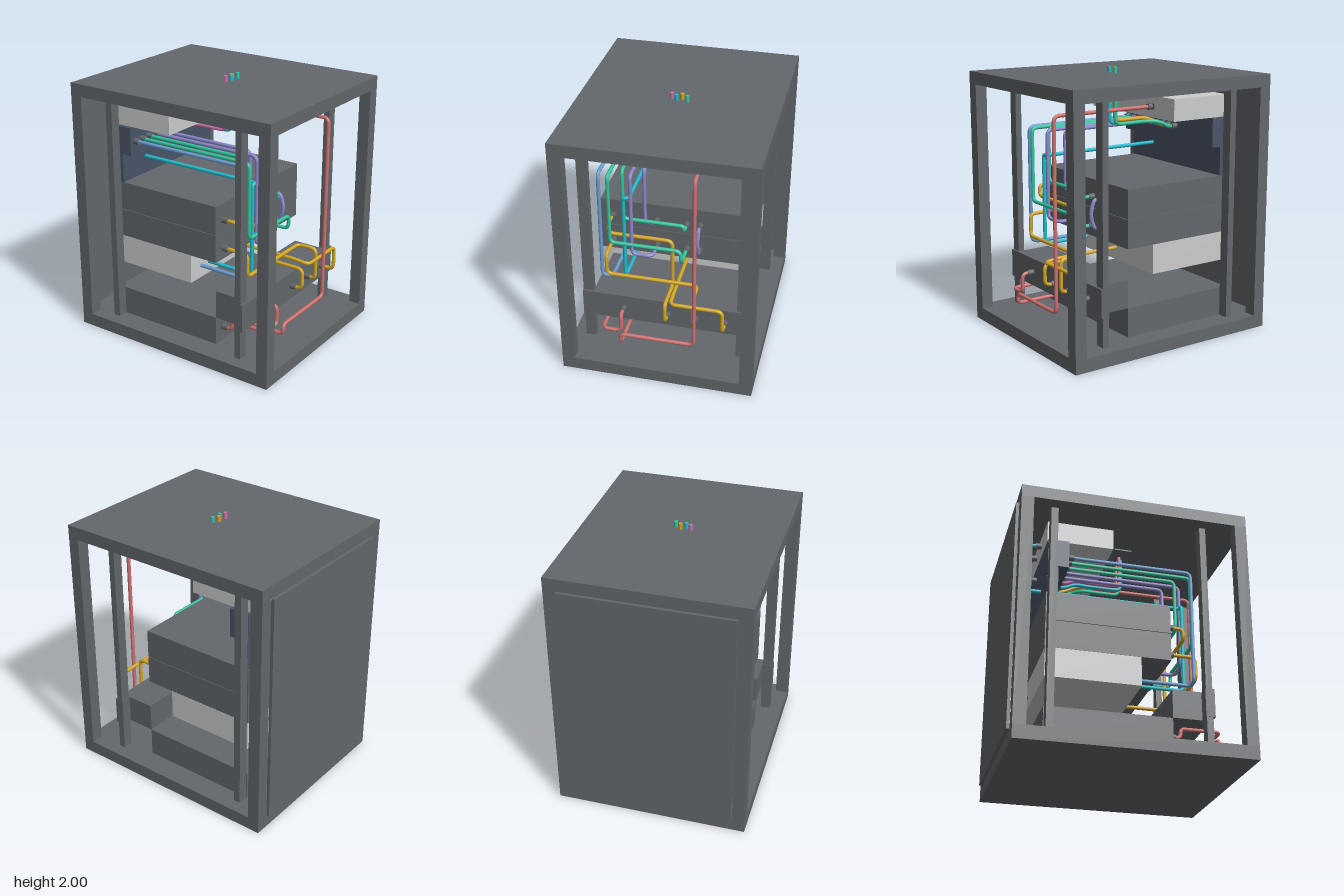
import * as THREE from 'three';

const mat = (name, color) => {
  const m = new THREE.MeshStandardMaterial({ color });
  m.name = name;
  return m;
};

export function createModel() {
  const root = new THREE.Group();
  root.name = 'equipmentRack';
  const M = {
    grey: mat('slateGrey', 0x63676b),
    light: mat('lightGrey', 0xcbcccd),
    navy: mat('navyBlue', 0x4a5469),
    red: mat('cableRed', 0xd27272),
    gold: mat('cableGold', 0xd6a925),
    green: mat('cableGreen', 0x35c6a0),
    cyan: mat('cableCyan', 0x20bfd0),
    purple: mat('cablePurple', 0x8c89cc),
    blue: mat('cableBlue', 0x6b9fd3),
    pink: mat('cablePink', 0xd072b0),
  };

  const add = (name, geo, m, parent = root) => {
    const mesh = new THREE.Mesh(geo, m);
    mesh.name = name;
    parent.add(mesh);
    return mesh;
  };
  // Box given by its low and high limits on each axis
  const box = (name, m, x0, x1, y0, y1, z0, z1, parent) =>
    add(name, new THREE.BoxGeometry(x1 - x0, y1 - y0, z1 - z0), m, parent)
      .position.set((x0 + x1) / 2, (y0 + y1) / 2, (z0 + z1) / 2);

  // Cabinet: base, roof, corner posts, rails and rear door
  box('base', M.grey, -0.725, 0.725, 0, 0.1, -0.85, 0.87);
  box('roof', M.grey, -0.725, 0.725, 1.86, 1.955, -0.85, 0.87);
  box('cableEntryPlate', M.grey, -0.175, 0.17, 1.85, 1.86, -0.01, 0.125);
  box('rearDoor', M.grey, -0.625, 0.625, 0.1, 1.86, -0.873, -0.85);
  for (const s of [-1, 1]) {
    const side = (name, a, b, y0, y1, z0, z1) =>
      box(name, M.grey, Math.min(s * a, s * b), Math.max(s * a, s * b), y0, y1, z0, z1);
    side('frontPost', 0.63, 0.725, 0.1, 1.86, 0.78, 0.87);
    side('rearPost', 0.63, 0.725, 0.1, 1.86, -0.85, -0.757);
    side('frontRail', 0.55, 0.628, 0.1, 1.86, 0.53, 0.578);
    side('rearRail', 0.55, 0.628, 0.1, 1.86, -0.61, -0.557);
    side('mountingEar', 0.545, 0.63, 0.322, 0.537, 0.525, 0.594);
  }

  // Rack units, bottom to top
  const W = 0.548;
  box('powerUnit', M.grey, -W, W, 0.1, 0.32, -0.615, 0.308);
  box('distributionUnit', M.grey, -W, W, 0.322, 0.537, 0.308, 0.594);
  box('lowerLightUnit', M.light, -W, W, 0.54, 0.762, -0.615, 0.085);
  box('lowerServer', M.grey, -W, W, 0.763, 0.976, -0.618, 0.308);
  box('upperServer', M.grey, -W, W, 0.98, 1.198, -0.618, 0.308);
  box('lowerPatchPanel', M.navy, -W, W, 1.2, 1.414, -0.61, -0.532);
  box('upperPatchPanel', M.navy, -W, W, 1.417, 1.634, -0.612, -0.455);
  box('upperLightUnit', M.light, -0.522, 0.522, 1.637, 1.8, -0.615, -0.115);

  // Sockets on the power unit and the top unit
  for (const x of [-0.455, -0.3, -0.14, 0.015, 0.282])
    box('socket', M.grey, x - 0.03, x + 0.03, 0.192, 0.228, 0.308, 0.316);
  box('portPlate', M.grey, 0.228, 0.292, 1.7, 1.742, -0.115, -0.106);
  box('rearPort', M.green, -0.03, 0.03, 0.245, 0.29, -0.624, -0.615);

  // Plug lying along z, starting at the unit's face
  const plug = (x, y, z, dir) => {
    const p = add('plug', new THREE.CylinderGeometry(0.023, 0.023, 0.045, 12), M.grey);
    p.rotation.x = Math.PI / 2;
    p.position.set(x, y, z + dir * 0.0225);
  };

  // Cable through a list of points, with rounded corners
  const cable = (name, m, pts, bend = 0.045) => {
    const p = pts.map((a) => new THREE.Vector3(...a));
    const path = new THREE.CurvePath();
    let from = p[0];
    for (let i = 1; i < p.length - 1; i++) {
      const r = Math.min(bend, p[i].distanceTo(p[i - 1]) * 0.48, p[i].distanceTo(p[i + 1]) * 0.48);
      const a = p[i].clone().add(p[i - 1].clone().sub(p[i]).setLength(r));
      const b = p[i].clone().add(p[i + 1].clone().sub(p[i]).setLength(r));
      path.add(new THREE.LineCurve3(from, a));
      path.add(new THREE.QuadraticBezierCurve3(a, p[i], b));
      from = b;
    }
    path.add(new THREE.LineCurve3(from, p[p.length - 1]));
    const n = Math.ceil(path.getLength() / 0.016);
    add(name, new THREE.TubeGeometry(path, n, 0.0145, 8, false), m);
  };

  // Feeds from the roof to the upper patch panel: roof x, roof z, run height, plug x
  for (const [m, x, z, y, px] of [
    [M.pink, -0.06, 0.052, 1.585, -0.115], [M.cyan, -0.022, 0.073, 1.575, -0.04],
    [M.gold, 0.016, 0.052, 1.597, 0.032], [M.green, 0.057, 0.075, 1.575, 0.11],
  ]) {
    cable('roofFeed', m, [[x, 2, z], [x, y, z], [x, y, -0.22], [px, 1.57, -0.3],
      [px, 1.526, -0.38], [px, 1.526, -0.45]]);
    const cap = add('roofFeedEnd', new THREE.CircleGeometry(0.0145, 8), m);
    cap.rotation.x = -Math.PI / 2;
    cap.position.set(x, 2, z);
    plug(px, 1.526, -0.455, 1);
  }

  // Drops from the upper patch panel to units below: x, loop z, crossing height, end
  for (const [m, x, z, y, ex, ey, ez] of [
    [M.blue, -0.5, 0.49, 0.635, -0.42, 0.635, 0.085],
    [M.green, -0.425, 0.51, 0.958, 0.11, 0.85, 0.308],
    [M.green, -0.345, 0.412, 1.115, 0.11, 1.07, 0.308],
    [M.purple, -0.27, 0.47, 0.85, -0.115, 0.85, 0.308],
    [M.purple, -0.195, 0.36, 1.07, -0.115, 1.07, 0.308],
  ]) {
    const pts = [[x, 1.526, -0.45], [x, 1.526, z], [x, y, z], [ex, y, z]];
    if (ey !== y) pts.push([ex, ey, z]);
    cable('patchDrop', m, [...pts, [ex, ey, ez]]);
    plug(x, 1.526, -0.455, 1);
    if (ez > 0.3) plug(ex, ey, ez, 1);
  }

  // Short link between the two servers
  cable('serverLink', M.purple, [[0.21, 1.07, 0.31], [0.21, 1.07, 0.37], [0.21, 0.96, 0.405],
    [0.21, 0.85, 0.37], [0.21, 0.85, 0.31]], 0.06);
  plug(0.21, 1.07, 0.308, 1);
  plug(0.21, 0.85, 0.308, 1);

  // Power cables
  cable('mainPowerCable', M.red, [[0.26, 1.72, -0.1], [0.26, 1.72, 0.735], [0.26, 0.287, 0.735],
    [-0.3, 0.287, 0.735], [-0.3, 0.21, 0.735], [-0.3, 0.21, 0.31]]);
  cable('distributionPowerCable', M.red, [[-0.31, 0.43, 0.6], [-0.31, 0.43, 0.685], [-0.31, 0.28, 0.685],
    [-0.455, 0.28, 0.685], [-0.455, 0.28, 0.39], [-0.455, 0.21, 0.39], [-0.455, 0.21, 0.31]]);
  cable('upperServerPower', M.gold, [[-0.455, 1.07, 0.31], [-0.455, 1.07, 0.435], [-0.455, 0.985, 0.435],
    [0.03, 0.985, 0.435], [0.03, 0.59, 0.435], [0.03, 0.59, 0.69], [0.03, 0.43, 0.69], [0.03, 0.43, 0.6]]);
  cable('lowerServerPower', M.gold, [[-0.455, 0.85, 0.31], [-0.455, 0.85, 0.52], [-0.455, 0.675, 0.52],
    [0.24, 0.675, 0.52], [0.24, 0.675, 0.68], [0.24, 0.43, 0.68], [0.24, 0.43, 0.6]]);
  cable('lightUnitPower', M.gold, [[0.465, 0.43, 0.6], [0.465, 0.43, 0.712], [0.465, 0.62, 0.712],
    [0.075, 0.62, 0.712], [0.075, 0.633, 0.6], [0.075, 0.633, 0.085]]);
  plug(0.26, 1.72, -0.115, 1);
  for (const x of [-0.3, -0.455]) plug(x, 0.21, 0.308, 1);
  for (const y of [0.85, 1.07]) plug(-0.455, y, 0.308, 1);
  for (const x of [-0.31, 0.03, 0.24, 0.465]) plug(x, 0.43, 0.594, 1);

  // Long data cable from the back of the top unit to the front of the lower light unit
  cable('longDataCable', M.cyan, [[-0.285, 1.72, -0.615], [-0.285, 1.72, -0.8], [-0.285, 1.333, -0.8],
    [-0.285, 1.333, 0.47], [-0.325, 1.333, 0.47], [-0.325, 0.633, 0.47], [-0.325, 0.633, 0.085]]);
  plug(-0.285, 1.72, -0.615, -1);

  // Rear links and the short front lead of the lower light unit
  cable('rearLink', M.green, [[-0.1, 1.72, -0.615], [-0.1, 1.72, -0.675], [-0.1, 1.62, -0.695],
    [-0.1, 1.526, -0.675], [-0.1, 1.526, -0.612]]);
  cable('rearDrop', M.pink, [[0.1, 1.526, -0.612], [0.1, 1.526, -0.725], [0.1, 0.643, -0.725], [0.1, 0.643, -0.615]]);
  cable('frontLead', M.pink, [[-0.038, 0.633, 0.085], [-0.038, 0.633, 0.125], [-0.038, 0.69, 0.125],
    [0.24, 0.69, 0.125], [0.24, 0.69, 0.08]]);
  plug(-0.1, 1.72, -0.615, -1);
  plug(-0.1, 1.526, -0.612, -1);
  plug(0.1, 1.526, -0.612, -1);
  plug(0.1, 0.643, -0.615, -1);

  return root;
}
